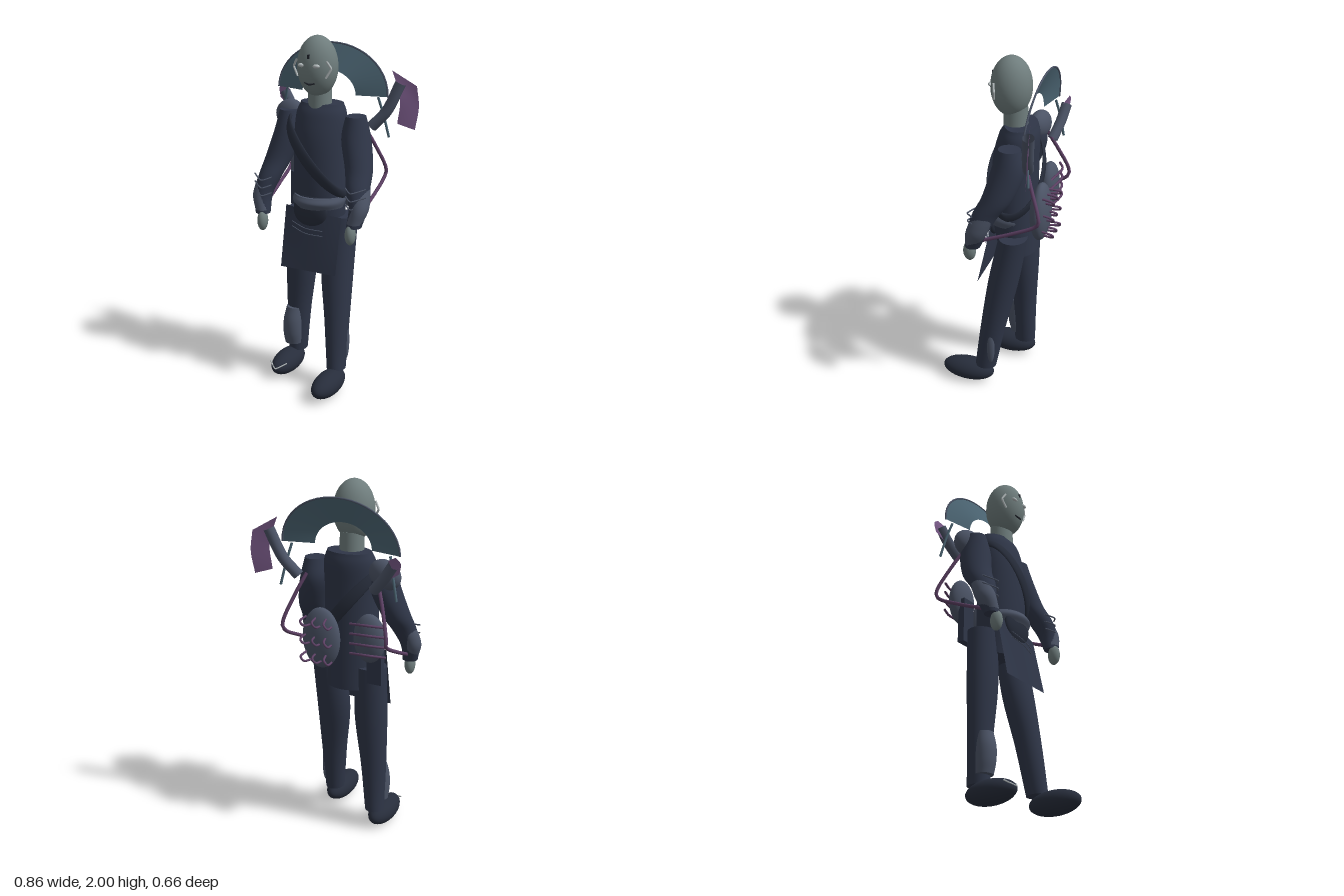
import * as THREE from 'three';
import { mergeGeometries, mergeVertices } from 'three/addons/utils/BufferGeometryUtils.js';

const CX = -0.06; // symmetry line of the body
const mat = (c) => new THREE.MeshStandardMaterial({ color: c, side: THREE.DoubleSide });
const M = {
  cloth: mat(0x2f3648), dark: mat(0x272d3b), guard: mat(0x4b5365), skin: mat(0x6f7d7d),
  plum: mat(0x7b5c8a), cord: mat(0x5c4063), teal: mat(0x4b6472), pale: mat(0xb4bbbd), ink: mat(0x23262e),
};
const V = (p) => new THREE.Vector3(...p);
const flip = (p) => [2 * CX - p[0], ...p.slice(1)];
const { lerp } = THREE.MathUtils;
const spline = (pts, tension = 0.5) => new THREE.CatmullRomCurve3(pts.map(V), false, 'catmullrom', tension);

// Surface through fn(u, v) -> [x, y, z]
function grid(fn, nu, nv) {
  const pos = [], idx = [];
  for (let j = 0; j <= nv; j++) for (let i = 0; i <= nu; i++) pos.push(...fn(i / nu, j / nv));
  for (let j = 0; j < nv; j++) for (let i = 0; i < nu; i++) {
    const a = j * (nu + 1) + i, b = a + nu + 1;
    idx.push(a, a + 1, b, a + 1, b + 1, b);
  }
  let g = new THREE.BufferGeometry();
  g.setAttribute('position', new THREE.Float32BufferAttribute(pos, 3));
  g.setIndex(idx);
  g = mergeVertices(g, 1e-5);
  g.computeVertexNormals();
  return g;
}

// Capped body through horizontal elliptical rings [x, y, z, rx, rz], top to bottom
function loft(rings) {
  const mid = spline(rings.map((r) => r.slice(0, 3)));
  const rad = spline(rings.map((r) => [r[3], 0, r[4]]));
  const side = grid((u, v) => {
    const a = u * Math.PI * 2, c = mid.getPoint(v), r = rad.getPoint(v);
    return [c.x + r.x * Math.cos(a), c.y, c.z + r.z * Math.sin(a)];
  }, 32, 24);
  const cap = (r, s) => {
    const g = new THREE.CircleGeometry(1, 32).rotateX((-s * Math.PI) / 2);
    g.scale(r[3], 1, r[4]).translate(r[0], r[1], r[2]).deleteAttribute('uv');
    g.computeVertexNormals();
    return g;
  };
  return mergeGeometries([side, cap(rings[0], 1), cap(rings[rings.length - 1], -1)]);
}

const ball = (c, r) => new THREE.SphereGeometry(1, 32, 24).scale(...r).translate(...c);
const tube = (pts, r, tension) => new THREE.TubeGeometry(spline(pts, tension), 24, r, 10);

// Curved axe blade between an inner and an outer edge
function blade(inner, outer) {
  const a = spline(inner), b = spline(outer);
  return grid((u, v) => a.getPoint(v).lerp(b.getPoint(v), u).toArray(), 8, 16);
}

export function createModel() {
  const model = new THREE.Group();
  const add = (name, geo, m) => {
    const mesh = new THREE.Mesh(geo, m);
    mesh.name = name;
    model.add(mesh);
  };

  // Head and face
  add('head', ball([CX, 1.835, -0.035], [0.112, 0.165, 0.112]), M.skin);
  add('neck', new THREE.CylinderGeometry(0.064, 0.068, 0.14, 32).translate(CX, 1.66, -0.06), M.skin);
  add('mouth', tube([[-0.09, 1.757, 0.055], [CX, 1.75, 0.064], [-0.03, 1.757, 0.055]], 0.005), M.ink);
  add('foreheadMark', new THREE.BoxGeometry(0.012, 0.022, 0.01).translate(CX, 1.898, 0.067), M.ink);

  // Torso tunic
  add('torso', loft([
    [CX, 1.63, -0.09, 0.125, 0.085], [CX, 1.56, -0.08, 0.147, 0.11], [CX, 1.4, -0.062, 0.149, 0.125],
    [CX, 1.1, -0.062, 0.149, 0.127], [CX, 0.87, -0.08, 0.135, 0.11]]), M.cloth);

  // Parts repeated on both sides
  for (const [side, f] of [['left', (p) => p], ['right', flip]]) {
    add(side + 'Eye', ball(f([-0.016, 1.85, 0.066]), [0.021, 0.011, 0.012]), M.pale);
    add(side + 'CheekLine', tube([[0.03, 1.875, 0.035], [0.053, 1.835, 0.025], [0.025, 1.785, 0.035]].map(f), 0.006, 0.1), M.pale);
    add(side + 'Arm', loft([
      [0.145, 1.57, -0.09, 0.055, 0.06], [0.15, 1.45, -0.085, 0.08, 0.09], [0.19, 1.3, -0.04, 0.076, 0.085],
      [0.215, 1.2, 0.02, 0.065, 0.072], [0.237, 1.1, 0.06, 0.052, 0.058], [0.225, 1, 0.09, 0.042, 0.042]].map(f)), M.cloth);
    add(side + 'ForearmGuard', loft([
      [0.225, 1.22, 0.01, 0.05, 0.06], [0.238, 1.15, 0.042, 0.053, 0.062],
      [0.243, 1.09, 0.065, 0.051, 0.058], [0.228, 1.02, 0.088, 0.042, 0.044]].map(f)), M.guard);
    add(side + 'Hand', ball(f([0.215, 0.96, 0.113]), [0.029, 0.058, 0.036]), M.skin);
    for (const y of [1.12, 1.165, 1.21]) {
      add(side + 'ForearmBand', tube([[0.17, y, 0.085], [0.218, y - 0.015, 0.12], [0.286, y + 0.005, 0.07]].map(f), 0.004, 0.3), M.guard);
    }
    add(side + 'Hose', tube([[0.15, 1.5, -0.18], [0.2, 1.38, -0.23], [0.243, 1.25, -0.28],
      [0.24, 1.19, -0.265], [0.237, 1.12, -0.13], [0.23, 1.05, 0.03]].map(f), 0.01), M.cord);
    add(side + 'CollarRod', tube([[0.225, 1.66, -0.2], [0.25, 1.56, -0.22], [0.278, 1.435, -0.235]].map(f), 0.007), M.teal);
  }

  // Legs and feet, the left one stepping forward
  add('leftLeg', loft([[0.07, 1, -0.09, 0.088, 0.08], [0.066, 0.7, -0.033, 0.094, 0.086],
    [0.09, 0.4, 0.02, 0.072, 0.073], [0.108, 0.12, 0.0625, 0.053, 0.062]]), M.cloth);
  add('rightLeg', loft([[-0.19, 1, -0.09, 0.088, 0.08], [-0.191, 0.7, -0.083, 0.093, 0.08],
    [-0.208, 0.4, -0.08, 0.072, 0.068], [-0.218, 0.12, -0.08, 0.053, 0.062]]), M.cloth);
  add('leftFoot', ball([0.112, 0.068, 0.17], [0.073, 0.068, 0.157]), M.dark);
  add('rightFoot', ball([-0.236, 0.068, 0.015], [0.073, 0.068, 0.155]), M.dark);
  add('toeTrim', tube([[-0.29, 0.1, 0.13], [-0.236, 0.075, 0.172], [-0.18, 0.105, 0.13]], 0.004, 0.15), M.pale);
  add('rightShinGuard', loft([[-0.22, 0.4, -0.04, 0.046, 0.045], [-0.225, 0.32, -0.028, 0.055, 0.054],
    [-0.227, 0.24, -0.028, 0.056, 0.054], [-0.227, 0.17, -0.035, 0.05, 0.046]]), M.guard);
  add('leftShinGuard', ball([0.148, 0.28, 0.02], [0.018, 0.115, 0.026]), M.guard);

  // Shoulder plate and diagonal strap around the torso
  add('shoulderPlate', ball([0, 0, 0], [0.095, 0.08, 0.055]).rotateZ(0.3).rotateY(-0.15).translate(-0.285, 1.535, -0.13), M.guard);
  add('strap', grid((u, v) => {
    const a = u * Math.PI * 2, b = -v * Math.PI * 2, w = 0.034 * Math.sin(b), k = 1 + 0.06 * Math.cos(b);
    return [CX - 0.008 + 0.168 * k * Math.cos(a) + w * 0.7 * Math.abs(Math.sin(a)),
      1.335 - 0.2 * Math.cos(a) + w * 0.75, -0.062 + 0.15 * k * Math.sin(a)];
  }, 64, 12), M.dark);

  // Belt, rounded pouch and apron
  add('belt', loft([[-0.055, 1.12, -0.045, 0.142, 0.132], [-0.055, 1.09, -0.042, 0.15, 0.146],
    [-0.055, 1.055, -0.045, 0.142, 0.132]]), M.guard);
  add('pouch', ball([-0.063, 1.04, 0.05], [0.105, 0.1, 0.032]), M.dark);
  add('apron', grid((u, v) => {
    const s = u * 2 - 1;
    return [lerp(-0.225, 0.12, u), lerp(1.05, 0.7, v) - 0.03 * u * (1 - v), 0.055 + 0.05 * v - 0.02 * s * s * (1 - v)];
  }, 20, 16), M.cloth);
  for (const y of [0.915, 0.945]) {
    add('apronStitch', tube([[-0.16, y + 0.03, 0.085], [-0.07, y + 0.005, 0.1], [0.03, y - 0.005, 0.083]], 0.0025), M.guard);
  }

  // Crescent collar behind the head
  const crescent = (u, v) => {
    const a = u * Math.PI, s = Math.sin(a);
    return [CX + lerp(0.165, 0.34, v) * Math.cos(a), 1.665 + lerp(0.13, 0.27, v) * s, lerp(-0.165, -0.203 - 0.025 * s, v)];
  };
  add('collar', grid(crescent, 48, 8), M.teal);
  add('collarRim', tube(Array.from({ length: 25 }, (_, i) => crescent(i / 24, 1)), 0.005), M.guard);

  // Two axes carried on the back
  add('leftAxeHandle', tube([[0.185, 1.49, -0.205], [0.27, 1.59, -0.228], [0.335, 1.74, -0.25]], 0.031), M.guard);
  add('leftAxeBlade', blade([[0.285, 1.805, -0.245], [0.335, 1.66, -0.245], [0.325, 1.515, -0.238]],
    [[0.42, 1.725, -0.275], [0.433, 1.61, -0.278], [0.42, 1.485, -0.262]]), M.plum);
  add('rightAxeHandle', tube([[-0.26, 1.47, -0.21], [-0.33, 1.55, -0.235], [-0.385, 1.63, -0.25]], 0.03), M.guard);
  add('rightAxeBlade', blade([[-0.35, 1.645, -0.24], [-0.375, 1.6, -0.24], [-0.37, 1.555, -0.24]],
    [[-0.4, 1.675, -0.262], [-0.43, 1.645, -0.262], [-0.42, 1.59, -0.255]]), M.plum);

  // Back pods with hooks and bars
  add('largePod', ball([0.035, 1.17, -0.235], [0.11, 0.17, 0.055]), M.guard);
  add('smallPod', ball([-0.235, 1.2, -0.205], [0.09, 0.135, 0.055]), M.guard);
  for (const y of [1.07, 1.17, 1.27]) for (const s of [-1, 0, 1]) {
    const x = 0.035 + s * 0.06, d = s * 0.01;
    add('podHook', tube([[x - 0.016, y - 0.02, -0.265], [x + d - 0.01, y - 0.015, -0.318],
      [x + d + 0.01, y + 0.01, -0.322], [x + 0.016, y + 0.02, -0.265]], 0.006), M.cord);
  }
  for (const y of [1.12, 1.175, 1.23, 1.285]) {
    add('podBar', tube([[-0.345, y, -0.235], [-0.25, y + 0.01, -0.272], [-0.14, y - 0.005, -0.245]], 0.007), M.cord);
  }
  add('hipPanel', new THREE.BoxGeometry(0.085, 0.26, 0.04).translate(-0.25, 1.06, -0.16), M.cloth);
  return model;
}
